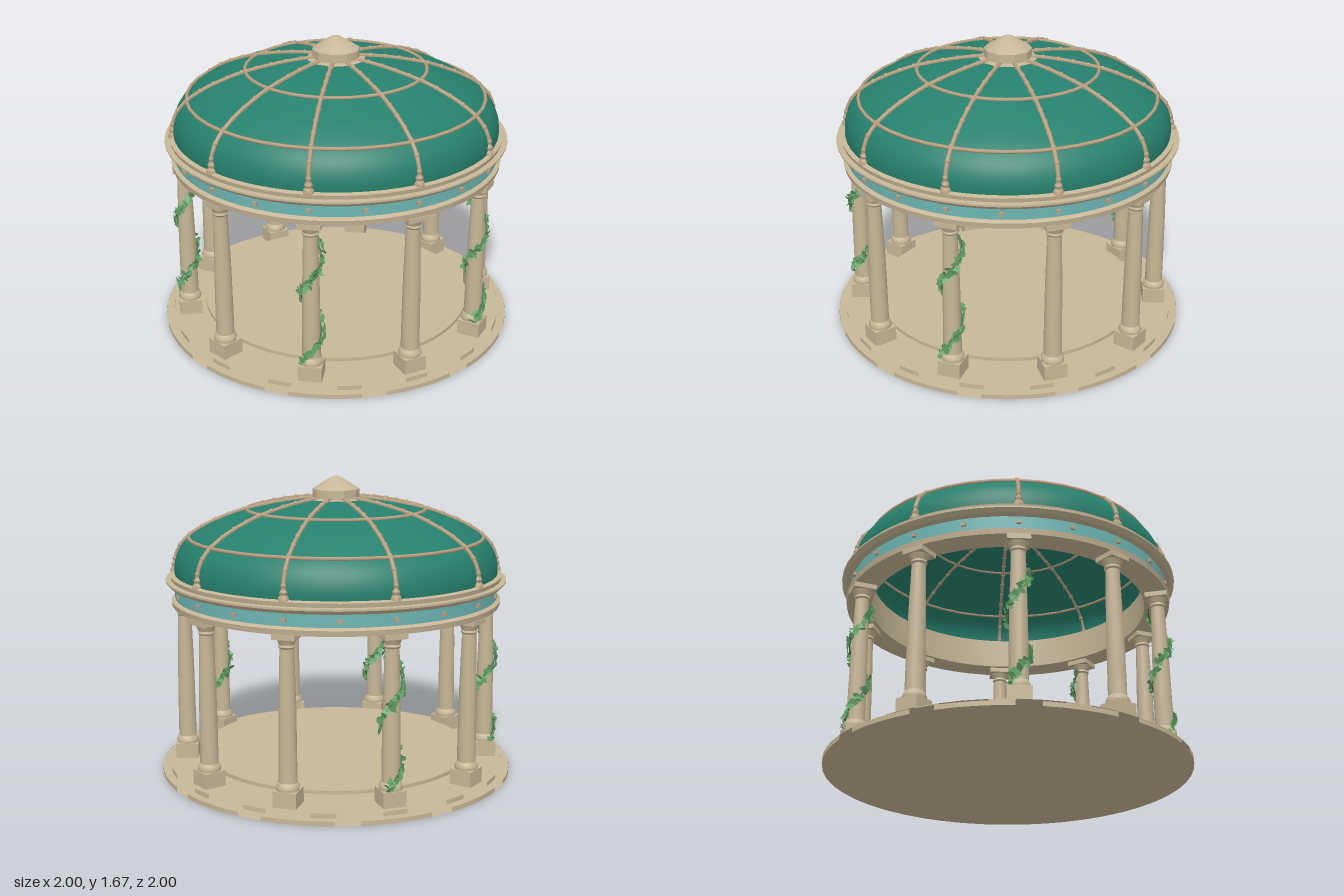
import * as THREE from 'three';
import { mergeGeometries, toCreasedNormals } from 'three/addons/utils/BufferGeometryUtils.js';

const material = (name, color, extra = {}) => {
  const m = new THREE.MeshStandardMaterial({ color, ...extra });
  m.name = name;
  return m;
};

export function createModel() {
  const stone = material('sandstone', 0xc6b797, { side: THREE.DoubleSide });
  const rib = material('tan rib', 0xbaa283);
  const green = material('dome green', 0x26806d, { side: THREE.DoubleSide });
  const teal = material('frieze teal', 0x6db5b3);
  const leafGreen = material('leaf green', 0x65a468, { side: THREE.DoubleSide });
  const stemGreen = material('stem green', 0x47764a);

  const model = new THREE.Group();
  model.name = 'gardenPavilion';
  const add = (name, geo, mat, parent = model) => {
    const mesh = new THREE.Mesh(geo, mat);
    mesh.name = name;
    parent.add(mesh);
    return mesh;
  };
  const lathe = (pts, sides) => toCreasedNormals(
    new THREE.LatheGeometry(pts.map(([r, y]) => new THREE.Vector2(r, y)), sides), 0.6);
  const STEP = Math.PI / 5; // ten bays

  // Base: ground disc, stepped treads and riser stones
  add('groundDisc', new THREE.CircleGeometry(1, 48).rotateX(-Math.PI / 2).translate(0, 0.005, 0), stone);
  const tread = (name, inner, outer, y) =>
    add(name, new THREE.RingGeometry(inner, outer, 48).rotateX(-Math.PI / 2).translate(0, y, 0), stone);
  tread('lowerTread', 0.7, 1, 0.03);
  tread('upperTread', 0.7, 0.955, 0.055);
  const risers = (name, r, y0, y1, count, fill) => {
    const stones = [];
    for (let i = 0; i < count; i++) {
      stones.push(new THREE.CylinderGeometry(r, r, y1 - y0, 4, 1, true,
        i / count * Math.PI * 2, fill * Math.PI * 2 / count).translate(0, (y0 + y1) / 2, 0));
    }
    add(name, mergeGeometries(stones), stone);
  };
  risers('lowerRiserStones', 1, 0.005, 0.03, 12, 0.75);
  risers('upperRiserStones', 0.955, 0.03, 0.055, 16, 0.35);
  add('floor', new THREE.CylinderGeometry(0.77, 0.77, 0.02, 48).translate(0, 0.1, 0), stone);

  // Columns: plinth, turned shaft and square abacus
  const plinth = new THREE.BoxGeometry(0.128, 0.085, 0.128).translate(0, 0.098, 0);
  const shaft = lathe([[0.062, 0.14], [0.064, 0.155], [0.058, 0.172], [0.05, 0.182], [0.049, 0.35],
    [0.046, 0.6], [0.038, 0.89], [0.045, 0.9], [0.041, 0.912], [0.056, 0.945]], 12);
  const abacus = new THREE.BoxGeometry(0.124, 0.028, 0.124).translate(0, 0.957, 0);
  for (let i = 0; i < 10; i++) {
    const a = i * STEP;
    const column = new THREE.Group();
    column.name = 'column' + (i + 1);
    column.position.set(0.86 * Math.sin(a), 0, 0.86 * Math.cos(a));
    column.rotation.y = a;
    add('plinth', plinth, stone, column);
    add('shaft', shaft, stone, column);
    add('abacus', abacus, stone, column);
    model.add(column);
  }

  // Climbing vines: a helical stem with pointed leaves
  let seed = 7;
  const rand = () => (seed = (seed * 16807) % 2147483647) / 2147483647;
  const leafShape = new THREE.Shape([[0, -0.026], [0.016, -0.004], [0.01, 0.014], [0, 0.028],
    [-0.012, 0.012], [-0.015, -0.006]].map(([x, y]) => new THREE.Vector2(x, y)));
  const leafGeo = new THREE.ShapeGeometry(leafShape);
  // bay index, height where the stem faces the given azimuth
  [[1, 0.6, 0], [-1, 0.7, 0], [3, 0.65, Math.PI / 2], [-3, 0.65, -Math.PI / 2]].forEach(([bay, y0, az]) => {
    const a = bay * STEP;
    const point = (y, r) => {
      const t = az + (y - y0) / 0.43 * Math.PI * 2;
      return new THREE.Vector3(r * Math.sin(t), y, r * Math.cos(t));
    };
    const vine = new THREE.Group();
    vine.name = 'vine';
    vine.position.set(0.86 * Math.sin(a), 0, 0.86 * Math.cos(a));
    const path = [];
    for (let i = 0; i <= 30; i++) path.push(point(0.15 + i * 0.0245, 0.053));
    add('stem', new THREE.TubeGeometry(new THREE.CatmullRomCurve3(path), 70, 0.005, 5), stemGreen, vine);
    const leaves = [];
    const dummy = new THREE.Object3D();
    for (let i = 0; i < 85; i++) {
      const y = 0.15 + 0.73 * (i + rand()) / 85;
      const p = point(y, 0.055 + 0.014 * rand());
      dummy.position.copy(p);
      dummy.position.y += (rand() - 0.5) * 0.05;
      dummy.rotation.set((rand() - 0.5) * 1.2, Math.atan2(p.x, p.z) + (rand() - 0.5) * 1.2,
        rand() * 6.28, 'YXZ');
      dummy.updateMatrix();
      leaves.push(leafGeo.clone().applyMatrix4(dummy.matrix));
    }
    add('leaves', mergeGeometries(leaves), leafGreen, vine);
    model.add(vine);
  });

  // Entablature: architrave, coloured frieze and cornice
  add('architrave', lathe([[0.78, 0.97], [0.92, 0.97], [0.925, 1.0], [0.905, 1.012], [0.78, 1.012]], 60), stone);
  add('frieze', lathe([[0.905, 1.01], [0.905, 1.082]], 60), teal);
  add('cornice', lathe([[0.905, 1.08], [0.935, 1.085], [0.955, 1.105], [0.955, 1.115], [0.925, 1.117],
    [0.93, 1.14], [0.905, 1.147], [0.78, 1.147]], 60), stone);
  add('innerWall', lathe([[0.78, 1.147], [0.78, 0.97]], 60), stone);
  const stud = new THREE.BoxGeometry(0.024, 0.02, 0.02).translate(0, 1.045, 0.908);
  for (let i = 0; i < 20; i++) add('friezeStud', stud, rib).rotation.y = i * STEP / 2;

  // Dome shell
  const profile = new THREE.SplineCurve([[0.905, 1.13], [0.904, 1.2], [0.878, 1.275], [0.82, 1.342], [0.72, 1.405],
    [0.61, 1.453], [0.5, 1.49], [0.31, 1.53], [0.15, 1.55], [0, 1.556]].map(p => new THREE.Vector2(...p)));
  add('domeShell', new THREE.LatheGeometry(profile.getPoints(40), 60), green);

  // Dome ribs with joints and feet
  const ribPoints = profile.getPoints(24).slice(0, 23).map(p => new THREE.Vector3(0, p.y + 0.004, p.x + 0.003));
  const ribCurve = new THREE.CatmullRomCurve3(ribPoints);
  const ribParts = [new THREE.TubeGeometry(ribCurve, 40, 0.012, 6)];
  for (let i = 1; i < 12; i++) {
    ribParts.push(new THREE.SphereGeometry(0.016, 6, 5).translate(...ribCurve.getPointAt(i / 12).toArray()));
  }
  const ribGeo = mergeGeometries(ribParts);
  const foot = lathe([[0.03, 1.14], [0.027, 1.16], [0.018, 1.17], [0.022, 1.185], [0.01, 1.205], [0, 1.207]], 8)
    .translate(0, 0, 0.905);
  for (let i = 0; i < 10; i++) {
    add('domeRib', ribGeo, rib).rotation.y = i * STEP;
    add('ribFoot', foot, rib).rotation.y = i * STEP;
  }
  [[0.825, 1.345], [0.5, 1.494]].forEach(([r, y]) =>
    add('domeHoop', new THREE.TorusGeometry(r, 0.01, 6, 40).rotateX(Math.PI / 2).translate(0, y, 0), rib));

  // Crowning cap
  add('finial', lathe([[0.165, 1.535], [0.165, 1.55], [0.132, 1.556], [0.132, 1.605], [0.075, 1.64],
    [0.03, 1.668], [0, 1.677]], 10), stone);

  return model;
}
